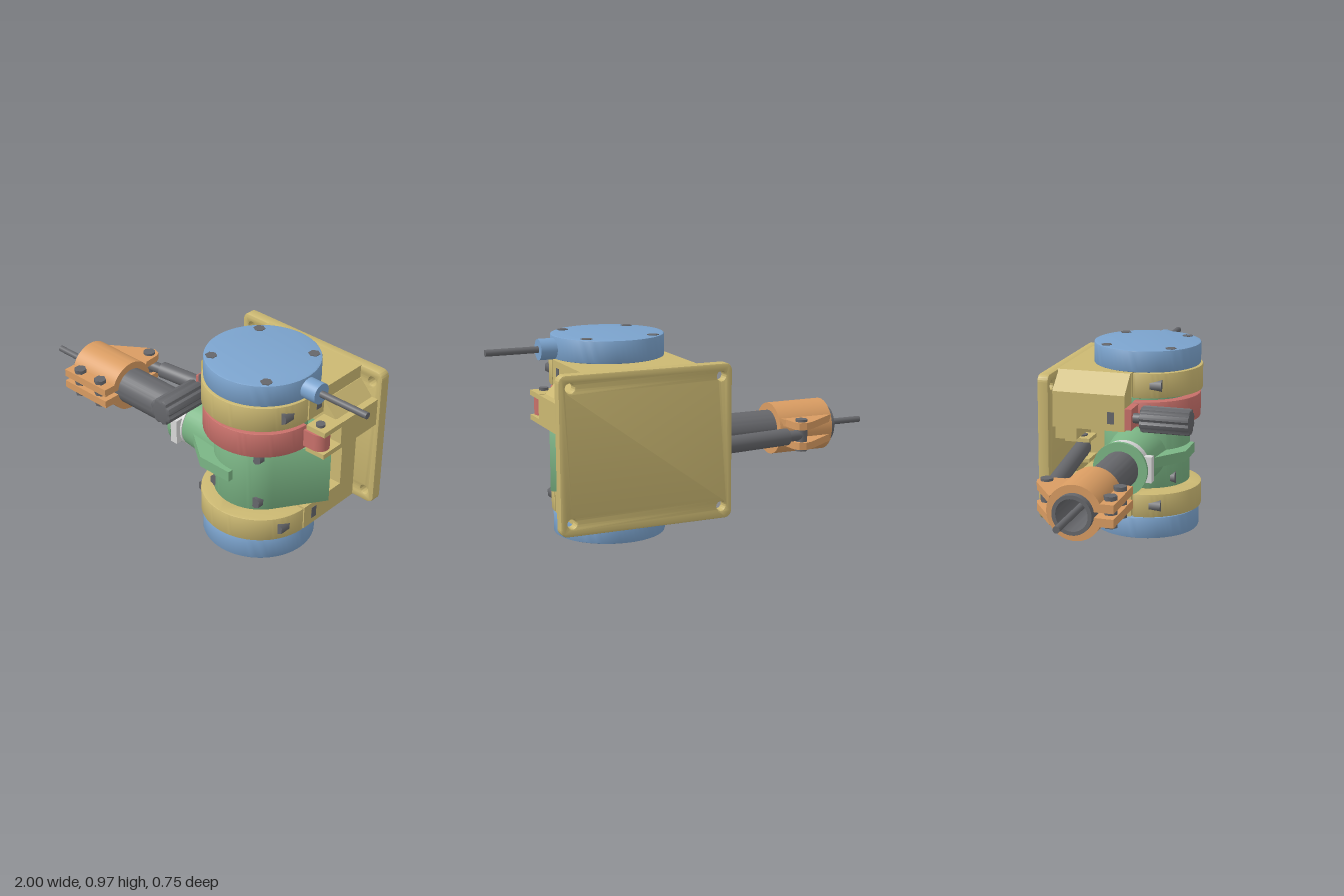
import * as THREE from 'three';
import { toCreasedNormals } from 'three/addons/utils/BufferGeometryUtils.js';

const mat = (name, color) => {
  const m = new THREE.MeshStandardMaterial({ color });
  m.name = name;
  return m;
};

export function createModel() {
  const model = new THREE.Group();
  model.name = 'pivotMount';
  const blue = mat('blue', 0x7ba3cd), tan = mat('tan', 0xcbb872), green = mat('green', 0x7bb585);
  const red = mat('red', 0xc8706a), orange = mat('orange', 0xd99c62);
  const grey = mat('dark grey', 0x66676b), silver = mat('silver', 0xd9d9d9);

  const CX = 0.4, CZ = 0.055, AY = 0.42; // main axis and arm height

  const add = (name, geo, material) => {
    const m = new THREE.Mesh(geo, material);
    m.name = name;
    model.add(m);
    return m;
  };
  // Box from minimum and maximum corners
  const box = (name, material, x0, x1, y0, y1, z0, z1) =>
    add(name, new THREE.BoxGeometry(x1 - x0, y1 - y0, z1 - z0)
      .translate((x0 + x1) / 2, (y0 + y1) / 2, (z0 + z1) / 2), material);
  // Cylinder between two points
  const rod = (name, material, a, b, r0, r1 = r0, sides = 40) => {
    const p = new THREE.Vector3(...a), q = new THREE.Vector3(...b), d = q.clone().sub(p);
    const m = add(name, new THREE.CylinderGeometry(r1, r0, d.length(), sides), material);
    m.position.copy(p).addScaledVector(d, 0.5);
    m.quaternion.setFromUnitVectors(new THREE.Vector3(0, 1, 0), d.normalize());
    return m;
  };
  const poly = pts => new THREE.Shape(pts.map(p => new THREE.Vector2(...p)));
  const extrude = (shape, depth, bevel = 0) => toCreasedNormals(new THREE.ExtrudeGeometry(shape, {
    depth: depth - 2 * bevel, curveSegments: 32, bevelEnabled: bevel > 0,
    bevelSize: bevel, bevelOffset: -bevel, bevelThickness: bevel, bevelSegments: 2,
  }).translate(0, 0, bevel), 0.5);
  // Plan outline (x, z) raised from y0 to y1
  const slab = (name, material, shape, y0, y1, bevel = 0) =>
    add(name, extrude(shape, y1 - y0, bevel).rotateX(Math.PI / 2).translate(0, y1, 0), material);
  // Front outline (x, y) stretched from z0 to z1
  const wall = (name, material, shape, z0, z1, bevel = 0) =>
    add(name, extrude(shape, z1 - z0, bevel).translate(0, 0, z0), material);
  const ring = (s, x, y, r) => {
    const h = new THREE.Path();
    h.absarc(x, y, r, 0, Math.PI * 2, true);
    s.holes.push(h);
  };
  const disc = (x, y, r) => {
    const s = new THREE.Shape();
    s.absarc(x, y, r, 0, Math.PI * 2);
    return s;
  };
  const halfRing = (r, inner, z) => {
    const s = new THREE.Shape();
    s.absarc(CX, z, r, 0, Math.PI);
    s.lineTo(CX - inner, z);
    s.absarc(CX, z, inner, Math.PI, 0, true);
    return s;
  };

  // End caps with screws
  slab('lowerCap', blue, disc(CX, CZ, 0.27), 0, 0.11, 0.006);
  slab('upperCap', blue, disc(CX, CZ, 0.27), 0.857, 0.965, 0.006);
  for (const sx of [-1, 1]) for (const sz of [-1, 1]) {
    const x = CX + sx * 0.165, z = CZ + sz * 0.165;
    rod('capScrew', grey, [x, 0.93, z], [x, 0.968, z], 0.028, 0.028, 6);
    rod('capScrew', grey, [x, -0.002, z], [x, 0.03, z], 0.028, 0.028, 6);
  }
  rod('cableGland', blue, [0.65, 0.905, CZ], [0.745, 0.905, CZ], 0.05);
  rod('outputCable', grey, [0.74, 0.905, CZ], [1, 0.905, CZ], 0.016, 0.016, 16);
  rod('innerShaft', green, [CX, 0.1, CZ], [CX, 0.86, CZ], 0.16);

  // Split bearing collars, their rear blocks and screws
  for (const [y0, y1] of [[0.115, 0.235], [0.73, 0.855]]) {
    const ym = (y0 + y1) / 2;
    slab('collarFront', tan, halfRing(0.277, 0.15, 0.059), y0, y1, 0.004);
    const rear = poly([[0.677, 0.051], [0.677, -0.33], [0.123, -0.33], [0.123, 0.051]]);
    slab('collarRear', tan, rear, y0, y1);
    for (const s of [-1, 1]) {
      const x = CX + s * 0.237;
      rod('collarScrew', grey, [x, ym, 0.1], [x, ym, 0.198], 0.032, 0.032, 6);
    }
    box('nutSlot', grey, 0.67, 0.679, ym - 0.03, ym + 0.03, -0.037, -0.003);
  }

  // Back plate with rounded corners and mounting holes
  const plate = new THREE.Shape();
  const c = 0.035, L = -0.05, R = 0.8, B = 0.115, T = 0.855;
  plate.absarc(R - c, T - c, c, 0, Math.PI / 2);
  plate.absarc(L + c, T - c, c, Math.PI / 2, Math.PI);
  plate.absarc(L + c, B + c, c, Math.PI, Math.PI * 1.5);
  plate.absarc(R - c, B + c, c, Math.PI * 1.5, Math.PI * 2);
  for (const x of [0.005, 0.745]) for (const y of [0.175, 0.795]) ring(plate, x, y, 0.022);
  wall('backPlate', tan, plate, -0.377, -0.32, 0.008);

  // Bracket body between plate and collars
  wall('latchBlock', tan, poly([[0.13, 0.855], [0.11, 0.855], [0.01, 0.765], [0.01, 0.585], [0.13, 0.585]]), -0.33, 0.05);
  box('latchNutSlot', grey, 0.008, 0.02, 0.62, 0.68, -0.037, -0.003);
  box('upperWeb', tan, 0.12, 0.68, 0.575, 0.735, -0.33, -0.25);
  box('upperRib', tan, 0.05, 0.68, 0.515, 0.58, -0.33, -0.21);
  wall('lowerGusset', tan, poly([[0.17, 0.125], [0.17, 0.315], [0.02, 0.315], [0.02, 0.27]]), -0.33, -0.17);
  box('sideRib', tan, 0.61, 0.677, 0.23, 0.58, -0.33, -0.215);

  // Hinge arm with clevis for the clamp strap
  wall('hingeArm', tan, poly([[0.66, 0.575], [0.785, 0.575], [0.785, 0.715], [0.75, 0.715], [0.68, 0.79], [0.66, 0.79]]), -0.33, -0.055);
  for (const [y0, y1] of [[0.575, 0.6], [0.692, 0.717]]) box('hingeShelf', tan, 0.68, 0.785, y0, y1, -0.06, 0.068);
  rod('hingePin', grey, [0.73, 0.57, 0.03], [0.73, 0.73, 0.03], 0.022, 0.022, 12);

  // Clamp strap, hinge eye and latch tab
  slab('clampStrap', red, halfRing(0.272, 0.22, CZ), 0.585, 0.71, 0.004);
  rod('strapEye', red, [0.73, 0.604, 0.03], [0.73, 0.69, 0.03], 0.046);
  box('strapLink', red, 0.64, 0.73, 0.604, 0.69, 0.04, 0.076);
  box('latchTab', red, 0.01, 0.16, 0.595, 0.7, 0.05, 0.085);

  // Fluted locking knob
  const flutes = [];
  for (let i = 0; i < 64; i++) {
    const a = i / 64 * Math.PI * 2, r = 0.066 - 0.009 * Math.max(0, Math.cos(8 * a));
    flutes.push([0.055 + r * Math.cos(a), 0.648 + r * Math.sin(a)]);
  }
  wall('knob', grey, poly(flutes), 0.125, 0.375, 0.01);
  rod('knobStud', grey, [0.055, 0.648, 0], [0.055, 0.648, 0.13], 0.025);

  // Rotating hub with angled side
  const hub = new THREE.Shape();
  const a0 = 0.58;
  hub.moveTo(0.735, -0.055);
  hub.lineTo(CX + 0.22 * Math.cos(a0), CZ + 0.22 * Math.sin(a0));
  hub.absarc(CX, CZ, 0.22, a0, Math.PI * 1.5);
  hub.lineTo(0.64, -0.165);
  slab('hub', green, hub, 0.25, 0.57, 0.003);
  rod('hubNeck', green, [CX, 0.56, CZ], [CX, 0.722, CZ], 0.219);
  for (const x of [0.28, 0.53]) for (const y of [0.295, 0.545])
    rod('hubScrew', grey, [x, y, 0.18], [x, y, 0.241], 0.031, 0.031, 6);

  // Arm socket, stiffening fin and hose band
  rod('socket', green, [-0.07, AY, CZ], [0.04, AY, CZ], 0.115);
  rod('socketFlare', green, [0, AY, CZ], [0.26, AY, CZ], 0.123, 0.15);
  rod('socketLip', green, [-0.08, AY, CZ], [-0.062, AY, CZ], 0.137);
  slab('socketFin', green, poly([[0.08, 0.1], [0.08, 0.18], [0.24, 0.3], [0.42, 0.3], [0.42, 0.1]]), 0.393, 0.447);
  rod('hoseBand', silver, [-0.055, AY, CZ], [0.005, AY, CZ], 0.128);
  box('bandBuckle', silver, -0.045, -0.005, 0.355, 0.485, 0.15, 0.205);

  // Hollow arm tube and its cable
  const pipe = disc(0, 0, 0.093);
  ring(pipe, 0, 0, 0.075);
  add('armTube', extrude(pipe, 0.75).rotateY(Math.PI / 2).translate(-0.8, AY, CZ), grey);
  rod('armCable', grey, [-1, AY, CZ], [-0.06, AY, CZ], 0.016, 0.016, 16);

  // Clamp on the arm tube, split at the front
  const clamp = new THREE.Shape();
  clamp.absarc(0, 0, 0.13, 0.12, Math.PI * 2 - 0.12);
  clamp.lineTo(0.091, -0.015);
  clamp.absarc(0, 0, 0.092, -0.16, 0.16 - Math.PI * 2, true);
  add('armClamp', extrude(clamp, 0.295).rotateY(-Math.PI / 2).translate(-0.47, AY, CZ), orange);
  for (const s of [-1, 1]) {
    const y = AY + s * 0.033;
    box('clampFlange', orange, -0.765, -0.47, y - 0.02, y + 0.02, 0.14, 0.237);
    const ear = poly([[-0.765, -0.06], [-0.585, -0.185], [-0.55, -0.197], [-0.515, -0.187], [-0.5, -0.16], [-0.495, -0.08], [-0.47, -0.05]]);
    const ye = AY + s * 0.05;
    slab('strutEar', orange, ear, ye - 0.018, ye + 0.018);
  }
  for (const x of [-0.69, -0.545])
    rod('clampBolt', grey, [x, 0.345, 0.2], [x, 0.493, 0.2], 0.032, 0.032, 6);

  // Gas strut from clamp to back plate
  const strut = t => [-0.545 + 0.795 * t, AY, -0.15 - 0.093 * t];
  rod('strutPin', grey, [-0.545, 0.34, -0.15], [-0.545, 0.5, -0.15], 0.03, 0.03, 12);
  rod('strutRod', grey, strut(0), strut(0.14), 0.027);
  rod('strutBody', grey, strut(0.11), strut(1), 0.042);
  rod('strutRearPin', grey, [0.25, 0.35, -0.243], [0.25, 0.49, -0.243], 0.025, 0.025, 12);
  for (const s of [-1, 1])
    box('strutLug', tan, 0.19, 0.31, AY + s * 0.053 - 0.01, AY + s * 0.053 + 0.01, -0.33, -0.19);

  return model;
}
